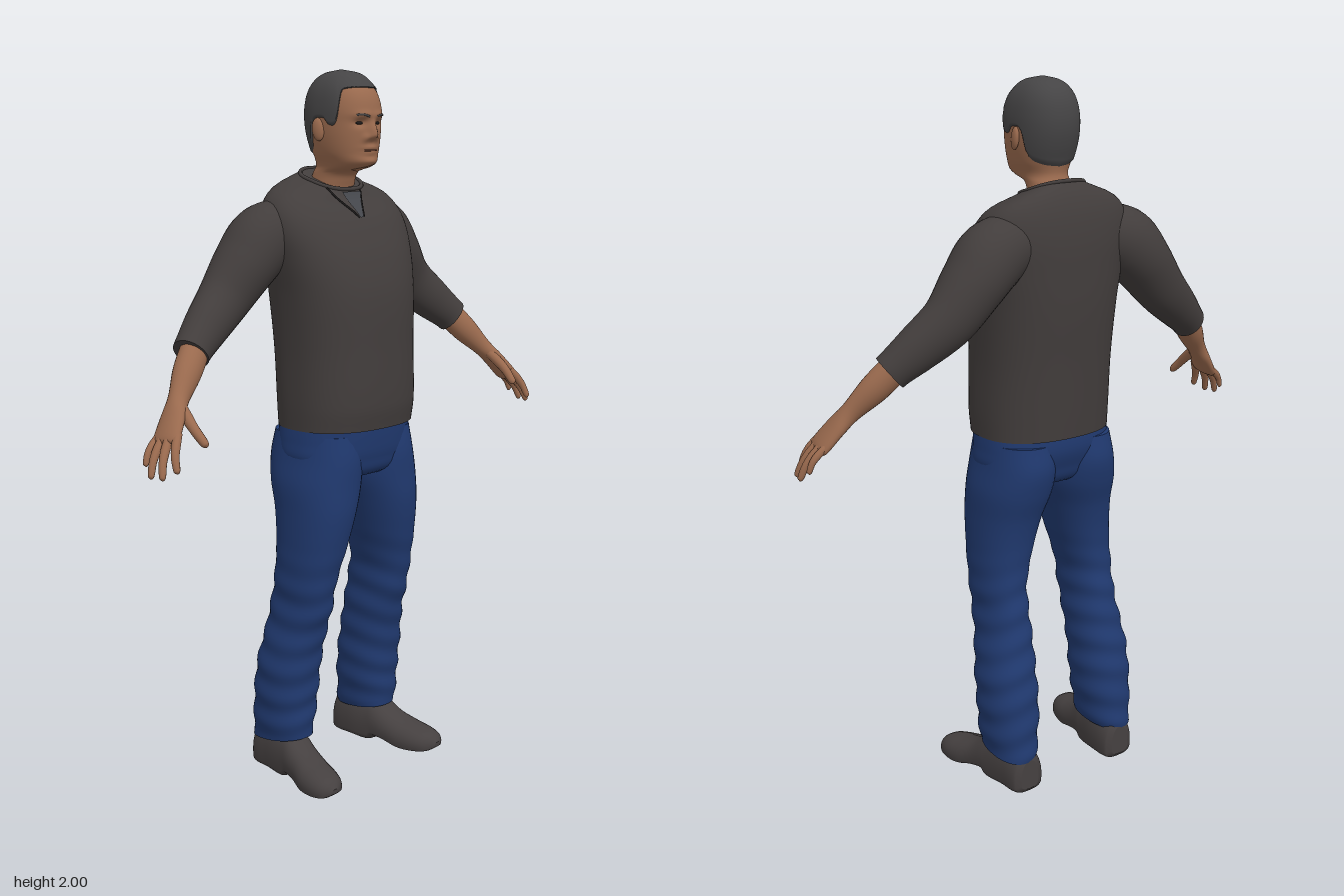
import * as THREE from 'three';

const mat = (name, color, side = THREE.FrontSide) => {
  const m = new THREE.MeshStandardMaterial({ color, side });
  m.name = name;
  return m;
};
const V = (x, y, z) => new THREE.Vector3(x, y, z);
const sstep = THREE.MathUtils.smoothstep;

// Smooth interpolation of a table whose first column is the rising parameter
function at(table, p) {
  const n = table.length;
  p = Math.min(Math.max(p, table[0][0]), table[n - 1][0]);
  let i = 0;
  while (i < n - 2 && p > table[i + 1][0]) i++;
  const a = table[i], b = table[i + 1], h = b[0] - a[0], t = (p - a[0]) / h;
  const slope = (k, c) => {
    const lo = table[Math.max(k - 1, 0)], hi = table[Math.min(k + 1, n - 1)];
    return (hi[c] - lo[c]) / (hi[0] - lo[0]);
  };
  return a.slice(1).map((_, k) => {
    const c = k + 1, t2 = t * t, t3 = t2 * t;
    return (2 * t3 - 3 * t2 + 1) * a[c] + (t3 - 2 * t2 + t) * h * slope(i, c)
      + (3 * t2 - 2 * t3) * b[c] + (t3 - t2) * h * slope(i + 1, c);
  });
}

// Skin over rings of points; f(t, angle) gives a point, ends may be capped
function loft(f, rows, seg, capStart = true, capEnd = true) {
  const pos = [], idx = [];
  for (let i = 0; i <= rows; i++)
    for (let j = 0; j < seg; j++) pos.push(...f(i / rows, (j / seg) * Math.PI * 2).toArray());
  for (let i = 0; i < rows; i++)
    for (let j = 0; j < seg; j++) {
      const a = i * seg + j, b = i * seg + (j + 1) % seg;
      idx.push(a, b, b + seg, a, b + seg, a + seg);
    }
  const cap = (row, flip) => {
    const start = pos.length / 3, c = V(0, 0, 0);
    for (let j = 0; j < seg; j++) {
      const p = V().fromArray(pos, (row * seg + j) * 3);
      c.addScaledVector(p, 1 / seg);
      pos.push(p.x, p.y, p.z);
    }
    pos.push(c.x, c.y, c.z);
    for (let j = 0; j < seg; j++) {
      const a = start + j, b = start + (j + 1) % seg;
      idx.push(start + seg, flip ? b : a, flip ? a : b);
    }
  };
  if (capStart) cap(0, true);
  if (capEnd) cap(rows, false);
  const g = new THREE.BufferGeometry();
  g.setAttribute('position', new THREE.Float32BufferAttribute(pos, 3));
  g.setIndex(idx);
  g.computeVertexNormals();
  return g;
}

const pw = (v, p) => Math.sign(v) * Math.pow(Math.abs(v), 2 / p);
// Horizontal ring: row = [centre x, half width, front z, back z]
const ring = ([xc, rx, zf, zb], y, a, p = 2.3, grow = 0) => V(
  xc + (rx + grow) * pw(Math.sin(a), p), y,
  (zf + zb) / 2 + ((zf - zb) / 2 + grow) * pw(Math.cos(a), p));

// Limb along a path: rows of [x, y, z, radius along z, radius across]
function limb(rows, n, seg) {
  const table = rows.map((r, i) => [i, ...r]), last = rows.length - 1;
  return loft((t, a) => {
    const s = t * last, [x, y, z, ru, rv] = at(table, s);
    const p0 = at(table, s - 0.05), p1 = at(table, s + 0.05);
    const d = V(p1[0] - p0[0], p1[1] - p0[1], p1[2] - p0[2]).normalize();
    const u = V(0, 0, 1).addScaledVector(d, -d.z).normalize(), v = d.clone().cross(u);
    return V(x, y, z).addScaledVector(u, Math.max(ru, 0.001) * Math.cos(a))
      .addScaledVector(v, Math.max(rv, 0.001) * Math.sin(a));
  }, n, seg);
}

function mirrored(g) {
  const m = g.clone().scale(-1, 1, 1), i = m.index.array;
  for (let k = 0; k < i.length; k += 3) [i[k], i[k + 1]] = [i[k + 1], i[k]];
  m.computeVertexNormals();
  return m;
}

const TORSO = [
  [1.035, 0, 0.198, 0.162, -0.15], [1.1, 0, 0.2, 0.172, -0.155], [1.25, 0, 0.2, 0.17, -0.166],
  [1.4, 0, 0.21, 0.163, -0.178], [1.5, 0, 0.225, 0.138, -0.18], [1.58, 0, 0.235, 0.1, -0.178],
  [1.64, 0, 0.222, 0.06, -0.168], [1.68, 0, 0.18, 0.035, -0.148], [1.71, 0, 0.085, 0.02, -0.12]];
const HIPS = [
  [0.88, 0, 0.07, 0.05, -0.05], [0.9, 0, 0.16, 0.115, -0.105], [0.95, 0, 0.2, 0.138, -0.13],
  [1.0, 0, 0.2, 0.146, -0.145], [1.07, 0, 0.192, 0.15, -0.142]];
const LEG = [
  [0.11, 0.175, 0.066, 0.018, -0.172], [0.13, 0.174, 0.07, 0.022, -0.174], [0.18, 0.172, 0.076, 0.025, -0.17],
  [0.25, 0.17, 0.081, 0.03, -0.165], [0.35, 0.168, 0.08, 0.042, -0.15], [0.44, 0.16, 0.074, 0.06, -0.13],
  [0.52, 0.156, 0.068, 0.085, -0.115], [0.6, 0.154, 0.07, 0.1, -0.1], [0.7, 0.14, 0.082, 0.122, -0.1],
  [0.8, 0.125, 0.095, 0.138, -0.115], [0.88, 0.112, 0.106, 0.14, -0.14], [0.95, 0.104, 0.1, 0.14, -0.152],
  [1.02, 0.1, 0.092, 0.13, -0.14]];
// Shoe rows run heel to toe: [z, centre x, half width, top y, bottom y]
const SHOE = [
  [-0.174, 0.168, 0.03, 0.1, 0.012], [-0.165, 0.168, 0.048, 0.12, 0], [-0.1, 0.17, 0.056, 0.145, 0],
  [-0.03, 0.178, 0.056, 0.138, 0], [-0.015, 0.18, 0.056, 0.13, 0.016], [0.03, 0.188, 0.057, 0.1, 0.014],
  [0.08, 0.2, 0.061, 0.08, 0.003], [0.13, 0.209, 0.056, 0.068, 0.004], [0.165, 0.214, 0.04, 0.056, 0.01],
  [0.182, 0.217, 0.012, 0.036, 0.022]];
const HEAD = [
  [1.64, 0, 0.068, 0, -0.11], [1.7, 0, 0.062, 0.012, -0.1], [1.73, 0, 0.06, 0.03, -0.088],
  [1.74, 0, 0.061, 0.07, -0.084], [1.753, 0, 0.065, 0.097, -0.082], [1.78, 0, 0.076, 0.1, -0.087],
  [1.82, 0, 0.084, 0.104, -0.1], [1.86, 0, 0.087, 0.106, -0.108], [1.9, 0, 0.086, 0.107, -0.108],
  [1.94, 0, 0.077, 0.093, -0.098], [1.97, 0, 0.059, 0.064, -0.077], [1.987, 0, 0.036, 0.034, -0.05],
  [1.995, 0, 0.002, -0.008, -0.012]];
const HAIRLINE = [
  [0, 1.95], [0.85, 1.946], [1.0, 1.93], [1.12, 1.862], [1.35, 1.852], [1.5, 1.87],
  [1.8, 1.86], [2.0, 1.8], [2.4, 1.776], [Math.PI, 1.766]];

function torsoPoint(y, a) {
  const p = ring(at(TORSO, y), y, a, 2.4);
  p.y -= 0.027 * sstep(y, 1.6, 1.71) * Math.cos(a);
  return p;
}
// Point on the shirt front at a given x
function chest(x, y, lift) {
  const rx = at(TORSO, y)[1];
  const p = torsoPoint(y, Math.sign(x) * Math.asin(Math.pow(Math.abs(x) / rx, 1.2)));
  p.z += lift;
  return p;
}

const bump = (x, y, cx, cy, sx, sy) => Math.exp(-(((x - cx) / sx) ** 2) - (((y - cy) / sy) ** 2));
// Head surface with nose, brow, eye sockets, lips and chin pushed out or in
function headPoint(y, a) {
  const p = ring(at(HEAD, y), y, a), x = Math.abs(p.x);
  if (p.z > 0.02) {
    p.z += 0.023 * bump(x, y, 0, 1.826, 0.013, y > 1.826 ? 0.034 : 0.01)
      + 0.006 * bump(x, y, 0.02, 1.82, 0.01, 0.01)
      + 0.006 * bump(x, y, 0.028, 1.88, 0.03, 0.01)
      - 0.009 * bump(x, y, 0.035, 1.859, 0.018, 0.011)
      + 0.006 * bump(x, y, 0, 1.794, 0.026, 0.006) + 0.005 * bump(x, y, 0, 1.78, 0.024, 0.006)
      + 0.008 * bump(x, y, 0, 1.755, 0.028, 0.012);
  }
  return p;
}

export function createModel() {
  const model = new THREE.Group();
  model.name = 'standingMan';
  const skin = mat('skin', 0x9a6a4e), hair = mat('hair', 0x454445), shirt = mat('shirt', 0x423d3c);
  const jeans = mat('denim', 0x20396f), leather = mat('shoeLeather', 0x454040);
  const seam = mat('darkSeam', 0x1d1b1b), slit = mat('neckOpening', 0x44464b, THREE.DoubleSide);
  const lips = mat('lips', 0x7c4f3e);
  const add = (name, g, m) => {
    const mesh = new THREE.Mesh(g, m);
    mesh.name = name;
    model.add(mesh);
    return mesh;
  };
  const pair = (name, g, m) => {
    add(name + 'Left', g, m);
    add(name + 'Right', mirrored(g), m);
  };
  const line = (name, pts, r, m, closed = false) =>
    add(name, new THREE.TubeGeometry(new THREE.CatmullRomCurve3(pts, closed), closed ? 64 : 16, r, 6, closed), m);
  const range = (n, f) => Array.from({ length: n }, (_, i) => f(i / (n - 1)));

  // Shirt body, collar rim and neck opening
  add('shirtBody', loft((t, a) => torsoPoint(1.035 + 0.675 * t, a), 60, 64), shirt);
  line('collar', range(33, t => torsoPoint(1.709, t * Math.PI * 2)).slice(0, 32), 0.006, shirt, true);
  const opening = new THREE.PlaneGeometry(1, 1, 4, 10), op = opening.attributes.position;
  for (let i = 0; i < op.count; i++) {
    const v = op.getY(i) + 0.5, u = op.getX(i) + 0.5;
    const l = -0.02 - 0.012 * v, r = -0.006 + 0.046 * v;
    const p = chest(l + (r - l) * u, 1.61 + 0.092 * v, 0.004);
    op.setXYZ(i, p.x, p.y, p.z);
  }
  opening.computeVertexNormals();
  add('neckOpening', opening, slit);
  line('openingSeamRight', range(8, t => chest(-0.022 - 0.05 * t, 1.61 + 0.096 * t, 0.002)), 0.003, seam);
  line('openingSeamLeft', range(8, t => chest(-0.005 + 0.047 * t, 1.61 + 0.094 * t, 0.002)), 0.003, seam);

  // Sleeves, pushed up to the forearm
  pair('sleeve', limb([
    [0.15, 1.58, -0.075, 0.08, 0.085], [0.225, 1.55, -0.085, 0.091, 0.095], [0.285, 1.49, -0.09, 0.089, 0.086],
    [0.36, 1.405, -0.09, 0.068, 0.075], [0.44, 1.34, -0.07, 0.057, 0.064], [0.495, 1.296, -0.052, 0.05, 0.054],
    [0.515, 1.278, -0.044, 0.048, 0.052]], 40, 32), shirt);

  // Forearms with palms
  pair('forearmAndPalm', limb([
    [0.48, 1.31, -0.055, 0.036, 0.04], [0.545, 1.24, -0.022, 0.036, 0.04], [0.6, 1.18, 0.008, 0.027, 0.028],
    [0.635, 1.14, 0.028, 0.038, 0.022], [0.672, 1.094, 0.047, 0.044, 0.017], [0.682, 1.08, 0.052, 0.036, 0.01]],
    32, 24), skin);

  // Fingers: knuckle, tip, radius
  const fingers = {
    indexFinger: [[0.662, 1.1, 0.079], [0.698, 1.02, 0.118], 0.0115],
    middleFinger: [[0.672, 1.095, 0.058], [0.725, 1.003, 0.093], 0.0115],
    ringFinger: [[0.678, 1.09, 0.037], [0.734, 1.003, 0.058], 0.011],
    littleFinger: [[0.68, 1.088, 0.017], [0.724, 1.028, 0.025], 0.0095],
    thumb: [[0.608, 1.16, 0.03], [0.612, 1.076, 0.13], 0.0145]};
  for (const [name, [k, e, r]] of Object.entries(fingers)) {
    const row = (t, bend, s) =>
      [k[0] + (e[0] - k[0]) * t + bend, k[1] + (e[1] - k[1]) * t + bend * 0.6, k[2] + (e[2] - k[2]) * t, r * s, r * s];
    pair(name, limb([row(-0.1, 0, 1), row(0.3, 0.006, 1.05), row(0.6, 0.007, 0.92),
      row(0.88, 0.002, 0.8), row(0.97, 0, 0.55), row(1, 0, 0.1)], 16, 12), skin);
  }

  // Jeans: hips and legs with soft creases
  add('jeansHips', loft((t, a) => { const y = 0.88 + 0.19 * t; return ring(at(HIPS, y), y, a, 2.4); }, 24, 64), jeans);
  pair('jeansLeg', loft((t, a) => {
    const y = 0.11 + 0.91 * t;
    const crease = 0.003 * Math.sin(y * 75 + 2 * Math.sin(a + 0.6)) * (1 - sstep(y, 0.5, 0.75));
    const p = ring(at(LEG, y), y, a, 2.2, crease);
    p.y += 0.014 * Math.cos(a) * (1 - sstep(y, 0.11, 0.3));
    return p;
  }, 80, 40), jeans);

  // Shoes with a flat sole and a raised arch
  pair('shoe', loft((t, a) => {
    const z = -0.174 + 0.356 * t, [xc, rx, top, bottom] = at(SHOE, z);
    const s = Math.sin(a), mid = bottom + (top - bottom) * 0.35;
    return V(xc + rx * pw(Math.cos(a), 2.5),
      Math.max(0, s > 0 ? mid + (top - mid) * s : mid + (mid - bottom) * pw(s, 5)), z);
  }, 48, 32), leather);

  // Head and neck
  add('headAndNeck', loft((t, a) => headPoint(1.64 + 0.355 * Math.sin(t * Math.PI / 2), a), 110, 128, false), skin);
  // Short hair shell rising from the hairline
  add('hair', loft((t, a) => {
    const h = at(HAIRLINE, a > Math.PI ? 2 * Math.PI - a : a)[0];
    const s = Math.sin(t * Math.PI / 2), y = h + (2.0 - h) * s;
    return ring(at(HEAD, y - 0.005 * s), y, a, 2.3, t === 0 ? -0.003 : 0.005 * (1 - s ** 12));
  }, 36, 128, false), hair);

  // Ears, eyes, brows and mouth
  for (const s of [1, -1]) {
    const side = s > 0 ? 'Left' : 'Right', ball = new THREE.SphereGeometry(1, 20, 14);
    const ear = add('ear' + side, ball, skin);
    ear.scale.set(0.01, 0.031, 0.018);
    ear.position.set(s * 0.09, 1.842, -0.008);
    ear.rotation.set(-0.15, -s * 0.3, 0);
    const eye = add('eye' + side, ball, seam);
    eye.scale.set(0.012, 0.0045, 0.004);
    eye.position.copy(headPoint(1.859, s * 0.34));
    eye.rotation.y = s * 0.25;
    line('brow' + side, range(6, t => headPoint(1.876 + 0.005 * Math.sin(t * 2.4), s * (0.13 + 0.42 * t))), 0.003, hair);
  }
  line('mouth', range(9, t => headPoint(1.787, (t - 0.5) * 0.5)), 0.0025, lips);
  return model;
}
